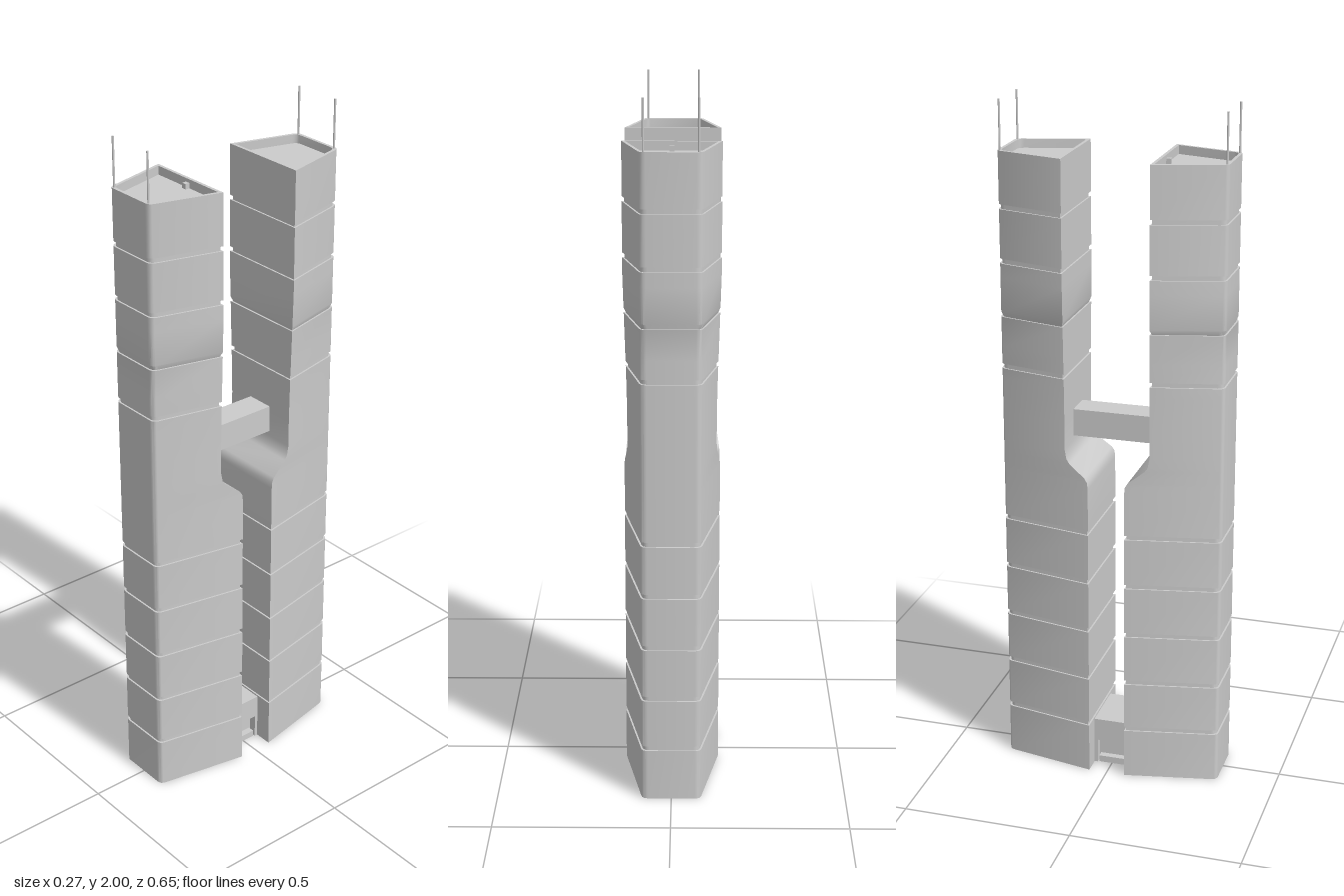
import * as THREE from 'three';
import { toCreasedNormals } from 'three/addons/utils/BufferGeometryUtils.js';

const Z_OUT = 0.327, W_OUT = 0.083, ROOF = 1.86;
const material = new THREE.MeshStandardMaterial({ color: 0xcccccc });

function addMesh(parent, name, geometry, x = 0, y = 0, z = 0) {
  const mesh = new THREE.Mesh(geometry, material);
  mesh.name = name;
  mesh.position.set(x, y, z);
  parent.add(mesh);
  return mesh;
}

function addBox(parent, name, w, y0, y1, d, x = 0, z = 0) {
  return addMesh(parent, name, new THREE.BoxGeometry(w, y1 - y0, d), x, (y0 + y1) / 2, z);
}

// Trapezoid floor plan with rounded outer corners, shrunk by inset
function planRing(y, zIn, wIn, inset = 0) {
  const slope = (W_OUT - wIn) / (Z_OUT - zIn);
  const width = (z) => wIn + slope * (z - zIn) - inset * Math.hypot(1, slope);
  const z0 = zIn + inset, z1 = Z_OUT - inset, r = 0.016;
  const half = [new THREE.Vector3(width(z0), y, z0)];
  const corner = new THREE.QuadraticBezierCurve3(
    new THREE.Vector3(width(z1 - r), y, z1 - r),
    new THREE.Vector3(width(z1), y, z1),
    new THREE.Vector3(width(z1) - r, y, z1));
  half.push(...corner.getPoints(4));
  const mirrored = half.map((p) => new THREE.Vector3(-p.x, p.y, p.z));
  return [...mirrored, ...half.reverse()];
}

// Skin stacked rings and close both ends
function loft(rings) {
  const pos = [];
  const tri = (...pts) => pts.forEach((p) => pos.push(p.x, p.y, p.z));
  const n = rings[0].length;
  for (let i = 0; i < rings.length - 1; i++) {
    for (let j = 0; j < n; j++) {
      const k = (j + 1) % n;
      const a = rings[i][j], b = rings[i][k], c = rings[i + 1][k], d = rings[i + 1][j];
      tri(a, b, c);
      tri(a, c, d);
    }
  }
  const bottom = rings[0], top = rings[rings.length - 1];
  for (let j = 1; j < n - 1; j++) {
    tri(bottom[0], bottom[j + 1], bottom[j]);
    tri(top[0], top[j], top[j + 1]);
  }
  const geometry = new THREE.BufferGeometry();
  geometry.setAttribute('position', new THREE.Float32BufferAttribute(pos, 3));
  return toCreasedNormals(geometry, 0.5);
}

function towerGeometry() {
  // Height, inner face z, half width of inner face
  const profile = [
    [0, 0.054, 0.137], [0.91, 0.054, 0.137], [0.93, 0.056, 0.1365], [0.943, 0.064, 0.135],
    [0.98, 0.111, 0.128], [0.993, 0.12, 0.1265], [1.02, 0.125, 0.126], [1.1, 0.125, 0.126],
    [1.2, 0.125, 0.128], [1.3, 0.125, 0.131], [1.4, 0.125, 0.134], [1.5, 0.125, 0.137],
    [ROOF, 0.125, 0.137],
  ];
  const planAt = (y) => {
    let i = 0;
    while (i < profile.length - 2 && profile[i + 1][0] < y) i++;
    const [a, b] = [profile[i], profile[i + 1]];
    const t = (y - a[0]) / (b[0] - a[0]);
    return [y, a[1] + (b[1] - a[1]) * t, a[2] + (b[2] - a[2]) * t];
  };

  const stations = profile.map((p) => ({ y: p[0], inset: [0] }));
  // Recessed belt grooves
  for (const y of [0.157, 0.311, 0.466, 0.621, 0.775, 1.24, 1.393, 1.548, 1.703]) {
    stations.push({ y: y - 0.007, inset: [0, 0.005] }, { y: y + 0.007, inset: [0.005, 0] });
  }
  stations.sort((a, b) => a.y - b.y);
  const rings = stations.flatMap((s) => s.inset.map((d) => planRing(...planAt(s.y), d)));
  // Parapet and sunken roof
  rings.push(planRing(ROOF, 0.125, 0.137, 0.009));
  rings.push(planRing(ROOF - 0.025, 0.125, 0.137, 0.009));
  return loft(rings);
}

export function createModel() {
  const model = new THREE.Group();
  model.name = 'twinTowers';

  // Two facing towers with roof fittings
  const body = towerGeometry();
  const mast = new THREE.CylinderGeometry(0.003, 0.003, 2 - ROOF + 0.025, 8);
  for (const name of ['frontTower', 'backTower']) {
    const tower = new THREE.Group();
    tower.name = name;
    if (name === 'backTower') tower.rotation.y = Math.PI;
    addMesh(tower, 'towerBody', body);
    addBox(tower, 'roofHatch', 0.014, ROOF - 0.03, ROOF - 0.01, 0.014, 0, 0.14);
    for (const side of [-1, 1]) {
      addMesh(tower, 'antenna', mast, side * 0.073, (2 + ROOF - 0.025) / 2, 0.32);
    }
    model.add(tower);
  }

  // Sky bridge
  addBox(model, 'skyBridge', 0.084, 1.035, 1.115, 0.254);

  // Entrance hall with recessed doorways
  addBox(model, 'hallUpper', 0.166, 0.075, 0.145, 0.112);
  addBox(model, 'hallCore', 0.12, 0, 0.075, 0.1);
  for (const z of [-0.05, 0.05]) addBox(model, 'hallJamb', 0.166, 0, 0.075, 0.012, 0, z);
  for (const x of [-0.069, 0.069]) addBox(model, 'doorStep', 0.022, 0, 0.02, 0.08, x);

  return model;
}
